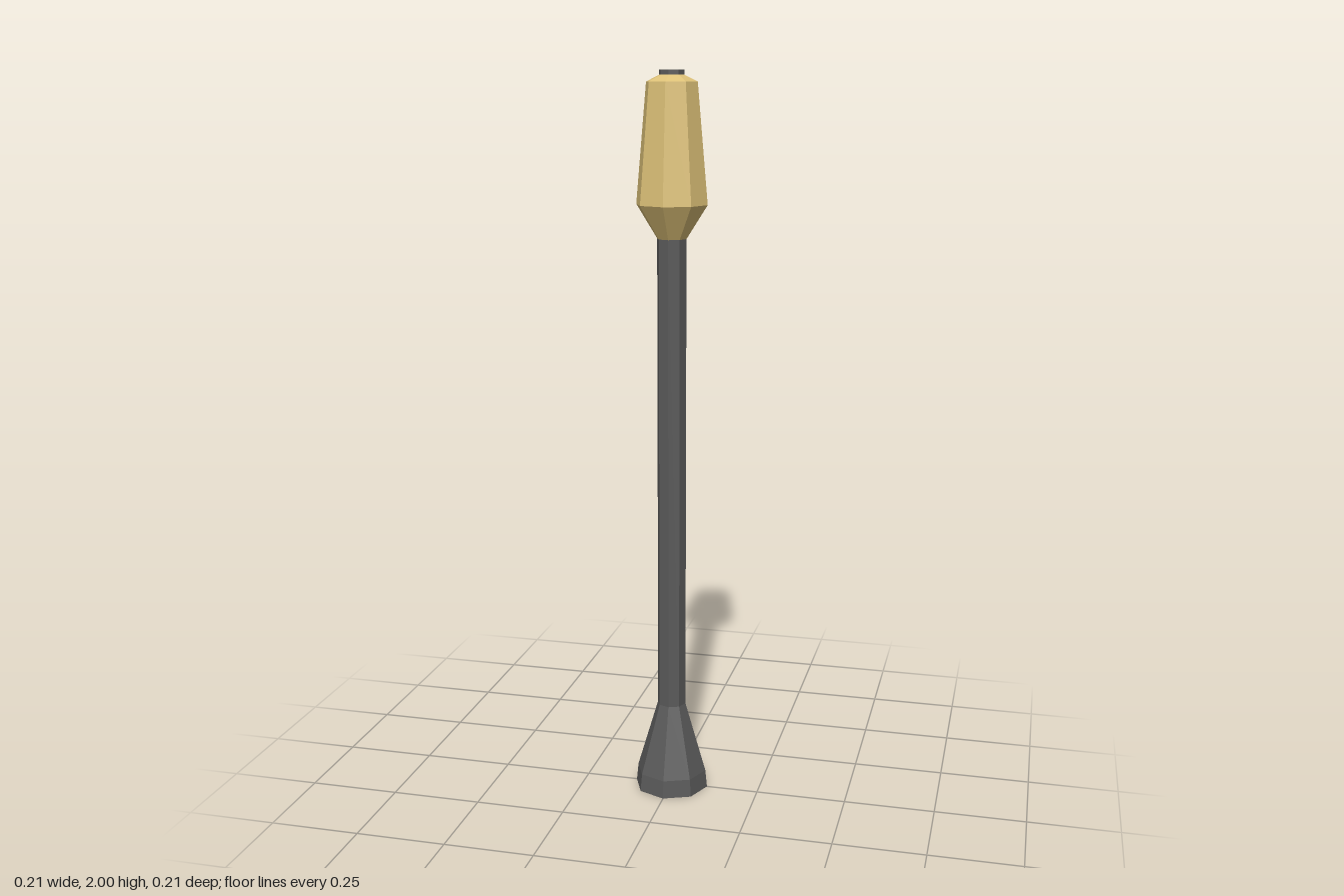
import * as THREE from 'three';

const SIDES = 8;

// Low-poly turned part from [radius, height] pairs, listed bottom to top
function turned(name, profile, color) {
  const points = profile.map(([r, y]) => new THREE.Vector2(r, y));
  const material = new THREE.MeshStandardMaterial({ color, flatShading: true });
  const mesh = new THREE.Mesh(new THREE.LatheGeometry(points, SIDES), material);
  mesh.name = name;
  return mesh;
}

export function createModel() {
  const group = new THREE.Group();
  group.name = 'staff';
  const dark = 0x5a5a5a;
  const gold = 0xdcc077;

  // Flared foot with a closed underside, running up into the slim shaft
  group.add(turned('flaredFoot', [[0, 0], [0.104, 0], [0.099, 0.05], [0.04, 0.25]], dark));
  group.add(turned('shaft', [[0.04, 0.25], [0.04, 1.57]], dark));

  // Tapered head: collar, long body and sloping shoulder
  group.add(turned('head', [[0, 1.565], [0.04, 1.565], [0.097, 1.655], [0.069, 1.97], [0.034, 1.987], [0, 1.987]], gold));

  // Small end cap
  group.add(turned('endCap', [[0.034, 1.985], [0.034, 2], [0, 2]], dark));

  return group;
}
